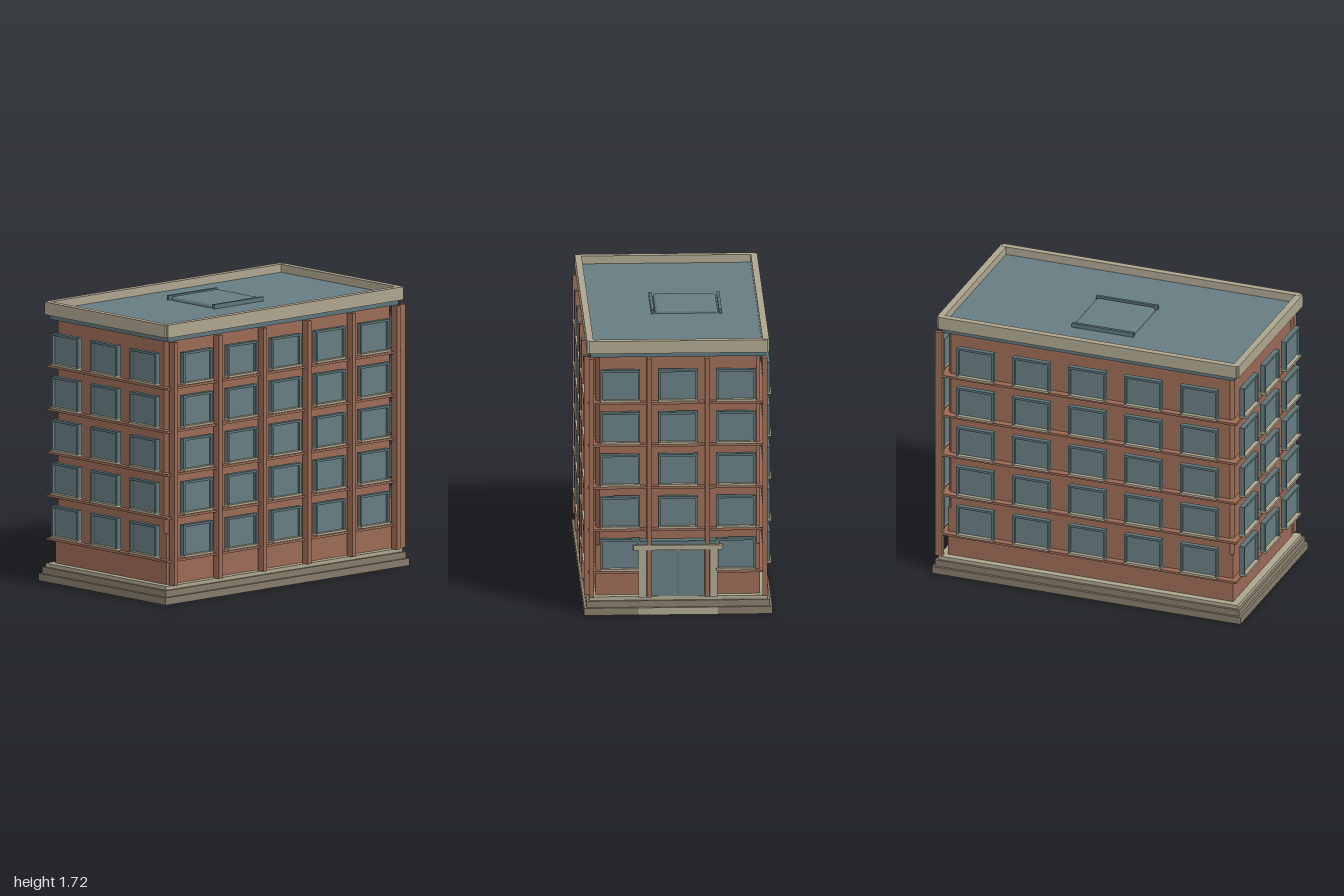
import * as THREE from 'three';
import { RoundedBoxGeometry } from 'three/addons/geometries/RoundedBoxGeometry.js';

const mat = (name, color) => {
  const m = new THREE.MeshStandardMaterial({ color });
  m.name = name;
  return m;
};

export function createModel() {
  const brick = mat('brick', 0x9a6a55);
  const stone = mat('stone', 0xaca58f);
  const plinthStone = mat('plinth stone', 0x857b69);
  const glass = mat('glass', 0x667d81);
  const trim = mat('blue grey trim', 0x5d7579);

  const model = new THREE.Group();
  model.name = 'officeBuilding';

  // Box given by its minimum and maximum corners
  const box = (parent, name, m, x0, x1, y0, y1, z0, z1) => {
    const mesh = new THREE.Mesh(new THREE.BoxGeometry(x1 - x0, y1 - y0, z1 - z0), m);
    mesh.position.set((x0 + x1) / 2, (y0 + y1) / 2, (z0 + z1) / 2);
    mesh.name = name;
    parent.add(mesh);
    return mesh;
  };
  const slab = (name, m, hx, hz, y0, y1) => box(model, name, m, -hx, hx, y0, y1, -hz, hz);

  // Stepped plinth
  slab('plinthLower', plinthStone, 1, 0.57, 0, 0.045);
  slab('plinthUpper', plinthStone, 0.985, 0.555, 0.045, 0.085);
  slab('plinthCap', stone, 0.97, 0.54, 0.085, 0.108);

  // Brick body: square ground floor, chamfered corners above
  slab('groundFloorWalls', brick, 0.925, 0.497, 0.1, 0.42);
  const hx = 0.925, hz = 0.497, c = 0.022;
  const plan = new THREE.Shape([
    [hx, -hz + c], [hx, hz - c], [hx - c, hz], [-hx + c, hz],
    [-hx, hz - c], [-hx, -hz + c], [-hx + c, -hz], [hx - c, -hz],
  ].map(([x, y]) => new THREE.Vector2(x, y)));
  const upperGeo = new THREE.ExtrudeGeometry(plan, { depth: 1.19, bevelEnabled: false });
  upperGeo.rotateX(-Math.PI / 2);
  const upper = new THREE.Mesh(upperGeo, brick);
  upper.position.y = 0.42;
  upper.name = 'upperWalls';
  model.add(upper);

  // String courses below each row of windows
  const pitch = 0.265;
  for (let i = 0; i < 5; i++) {
    const y = 0.25 + i * pitch;
    slab('stringCourse', brick, 0.96, 0.54, y, y + 0.014);
  }

  // Window: three frame bars, recessed pane and projecting sill
  const addWindow = (face, x, y) => {
    const w = new THREE.Group();
    w.name = 'window';
    w.position.set(x, y, 0);
    face.add(w);
    const h = 0.2, d = 0.032;
    box(w, 'pane', glass, -0.11, 0.11, 0.01, h - 0.01, 0, 0.015);
    box(w, 'frameTop', trim, -0.12, 0.12, h - 0.014, h, 0, d);
    for (const s of [-1, 1]) {
      const j = s * 0.113;
      box(w, 'frameJamb', trim, j - 0.007, j + 0.007, 0.01, h - 0.014, 0, d);
    }
    box(w, 'sill', stone, -0.12, 0.12, 0, 0.014, 0, 0.04);
  };

  // Four facades, each built in its own plane with z pointing outwards
  const longCols = [-0.725, -0.3625, 0, 0.3625, 0.725];
  const shortCols = [-0.35, 0, 0.35];
  const longPiers = [-0.912, -0.547, -0.182, 0.182, 0.547, 0.912];
  const shortPiers = [-0.525, -0.175, 0.175, 0.525];
  const facades = [
    { name: 'frontFacade', turn: 0, dist: 0.53, cols: longCols, piers: longPiers },
    { name: 'leftFacade', turn: 1, dist: 0.955, cols: shortCols, piers: shortPiers, door: true },
    { name: 'backFacade', turn: 2, dist: 0.53, cols: longCols, piers: [] },
    { name: 'rightFacade', turn: 3, dist: 0.955, cols: shortCols, piers: [] },
  ];
  for (const f of facades) {
    const face = new THREE.Group();
    face.name = f.name;
    face.rotation.y = f.turn * Math.PI / 2;
    const out = new THREE.Vector3(0, 0, f.dist);
    face.position.copy(out.applyEuler(face.rotation));
    model.add(face);
    for (let row = 0; row < 5; row++) {
      for (const x of f.cols) {
        if (f.door && row === 0 && x === 0) continue;
        addWindow(face, x, 0.273 + row * pitch);
      }
    }
    for (const x of f.piers) {
      box(face, 'pilaster', brick, x - 0.014, x + 0.014, 0.108, 1.605, -0.01, 0.038);
    }
  }

  // Entrance on the +x side
  const entrance = new THREE.Group();
  entrance.name = 'entrance';
  model.add(entrance);
  box(entrance, 'doorStep', stone, 0.95, 1.002, 0, 0.045, -0.24, 0.24);
  for (const s of [-1, 1]) {
    const d = s * 0.084, p = s * 0.215;
    box(entrance, 'doorLeaf', glass, 0.925, 0.968, 0.108, 0.392, d - 0.08, d + 0.08);
    box(entrance, 'porchColumn', stone, 0.925, 0.99, 0.108, 0.405, p - 0.024, p + 0.024);
  }
  box(entrance, 'doorMullion', trim, 0.925, 0.972, 0.108, 0.392, -0.006, 0.006);
  box(entrance, 'doorHead', trim, 0.925, 0.972, 0.392, 0.405, -0.164, 0.164);
  box(entrance, 'doorHeadStrip', stone, 0.97, 0.977, 0.393, 0.403, -0.09, 0.09);
  box(entrance, 'porchLintel', stone, 0.925, 0.998, 0.405, 0.435, -0.272, 0.272);
  box(entrance, 'porchCanopy', trim, 0.925, 0.982, 0.435, 0.458, -0.25, 0.25);

  // Frieze, roof and parapet
  slab('frieze', trim, 0.945, 0.53, 1.605, 1.64);
  slab('roof', glass, 0.95, 0.53, 1.636, 1.665);
  for (const s of [-1, 1]) {
    const z = s * 0.532, x = s * 0.9575;
    box(model, 'parapetLong', stone, -0.965, 0.965, 1.635, 1.715, z - 0.02, z + 0.02);
    box(model, 'parapetShort', stone, x - 0.0205, x + 0.0205, 1.636, 1.714, -0.54, 0.54);
  }

  // Roof hatch with a rail at each end
  const hatch = new THREE.Mesh(new RoundedBoxGeometry(0.385, 0.06, 0.38, 3, 0.02), glass);
  hatch.position.set(0, 1.659, -0.08);
  hatch.name = 'roofHatch';
  model.add(hatch);
  for (const z of [-0.285, 0.125]) {
    box(model, 'hatchRail', trim, -0.2, 0.2, 1.66, 1.692, z - 0.009, z + 0.009);
  }

  return model;
}
